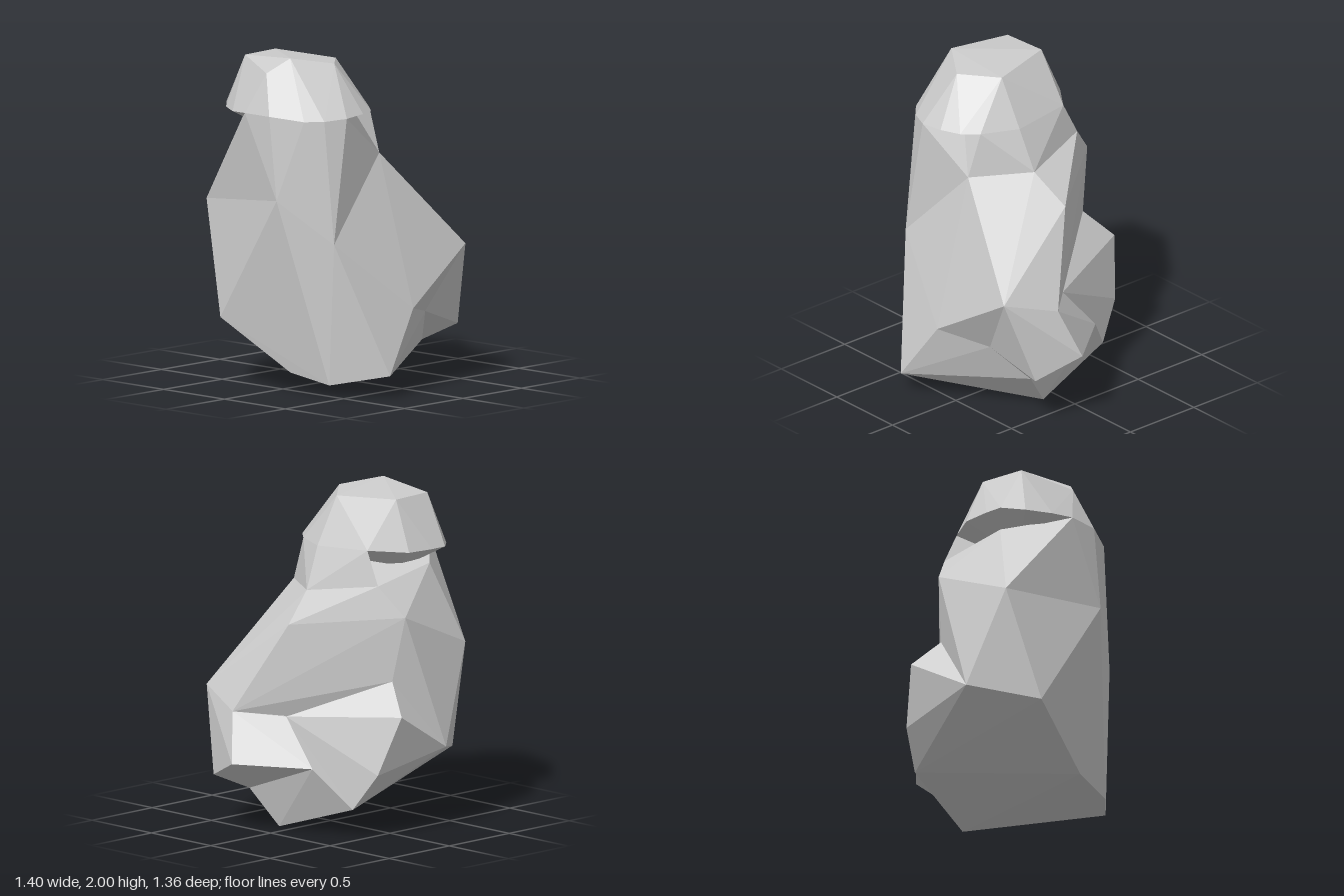
import * as THREE from 'three';
import { ConvexGeometry } from 'three/addons/geometries/ConvexGeometry.js';

const material = new THREE.MeshStandardMaterial({ color: 0xcccccc, flatShading: true });

// Corners shared by neighbouring chunks of the boulder
const P = {
  frontLeftEdge: [-0.52, 0.92, 0.44],
  overhangTip: [0.49, 0.82, 0.55],
  notchTop: [-0.03, 0.5, 0.62],
  notchDeep: [0.25, 0.43, 0.45],
  spurTop: [0.6, 0.72, 0.22],
  ledge: [0.38, 0.69, -0.01],
  spurBack: [0.4, 0.41, -0.25],
  spurUnder: [0.41, 0.22, 0.27],
  foot: [0.33, 0, 0.1],
  backFoot: [0.25, 0.17, -0.44],
  backLow: [-0.32, 0.5, -0.65],
  sideLow: [-0.66, 0.41, -0.36],
  sideMid: [-0.7, 1.17, 0.14],
  backMid: [-0.56, 1.09, -0.57],
  backHigh: [-0.05, 1.31, -0.58],
  backTop: [-0.4, 1.57, -0.43],
  valley: [-0.01, 0.92, -0.51],
  neckFront: [-0.05, 1.41, 0.36],
  neckRight: [0.17, 1.42, 0.03],
  neckBack: [0.03, 1.49, -0.43],
  rimRight: [0.06, 1.67, 0.05],
  rimBackRight: [0.02, 1.69, -0.33],
  rimFrontRight: [-0.04, 1.67, 0.27],
  rimFront: [-0.39, 1.66, 0.42],
  rimFrontLeft: [-0.52, 1.65, 0.36],
  rimLeft: [-0.7, 1.67, 0.08],
  rimBackLeft: [-0.7, 1.67, -0.12],
};

// One faceted chunk: the hull of its corners
function chunk(name, corners) {
  const points = corners.map((c) => new THREE.Vector3(...c));
  const mesh = new THREE.Mesh(new ConvexGeometry(points), material);
  mesh.name = name;
  return mesh;
}

export function createModel() {
  const rock = new THREE.Group();
  rock.name = 'rock';

  // Tall main block
  rock.add(chunk('upperBody', [
    P.frontLeftEdge, P.overhangTip, P.notchTop, P.notchDeep, P.spurTop,
    P.neckFront, P.neckRight, P.neckBack, P.backHigh, P.backTop, P.backMid,
    P.backLow, P.sideMid, P.sideLow, P.valley, [0.38, 1.25, -0.03],
  ]));

  // Left shoulder rising to the rim of the cap
  rock.add(chunk('shoulder', [
    P.frontLeftEdge, P.neckFront, P.rimFront, P.rimFrontLeft, [-0.61, 1.65, 0.28],
    P.rimLeft, P.rimBackLeft, P.sideMid, P.backMid, P.backTop, P.neckBack,
  ]));

  // Neck spreading from the cap to the body
  rock.add(chunk('neck', [
    P.neckFront, P.neckRight, P.neckBack, P.rimRight, P.rimBackRight, P.rimFrontRight,
    [-0.3, 1.9, 0.2],
  ]));

  // Base with slanted underside
  rock.add(chunk('base', [
    P.frontLeftEdge, P.notchTop, P.notchDeep, P.spurUnder, P.foot, P.backFoot,
    P.backLow, P.sideLow, P.sideMid, P.backMid,
    [-0.29, 0.13, 0.68], [-0.52, 0.07, 0.4], [-0.56, 0.12, 0.12],
  ]));

  // Jutting spur on the side, and the web joining it to the foot
  rock.add(chunk('sideSpur', [
    P.overhangTip, P.spurTop, P.ledge, P.spurBack, P.spurUnder, P.notchDeep,
    [0.59, 0.31, 0.39], [0.705, 0.43, 0.12],
  ]));
  rock.add(chunk('spurWeb', [P.ledge, P.spurBack, P.spurUnder, P.foot, P.backFoot]));

  // Ledge running round to the back
  rock.add(chunk('backLedge', [
    P.ledge, P.foot, P.backFoot, P.backLow, P.valley,
    [0.08, 0.74, -0.68], [0.19, 0.39, -0.59],
  ]));

  // Rounded cap: small top facet over a wide rim
  rock.add(chunk('cap', [
    [-0.52, 2, 0.08], [-0.3, 1.96, 0.23], [-0.1, 1.95, 0.05], [-0.2, 1.97, -0.35],
    [-0.48, 1.97, -0.33], [-0.62, 1.91, -0.02],
    P.rimLeft, P.rimBackLeft, [-0.66, 1.66, -0.26], [-0.57, 1.66, -0.4],
    [-0.46, 1.67, -0.5], [-0.35, 1.67, -0.5], [-0.18, 1.67, -0.48], P.rimBackRight,
    P.rimRight, P.rimFrontRight, [-0.12, 1.67, 0.36], [-0.24, 1.67, 0.41],
    P.rimFront, P.rimFrontLeft, [-0.61, 1.65, 0.28], [-0.35, 1.5, -0.2],
  ]));

  return rock;
}
